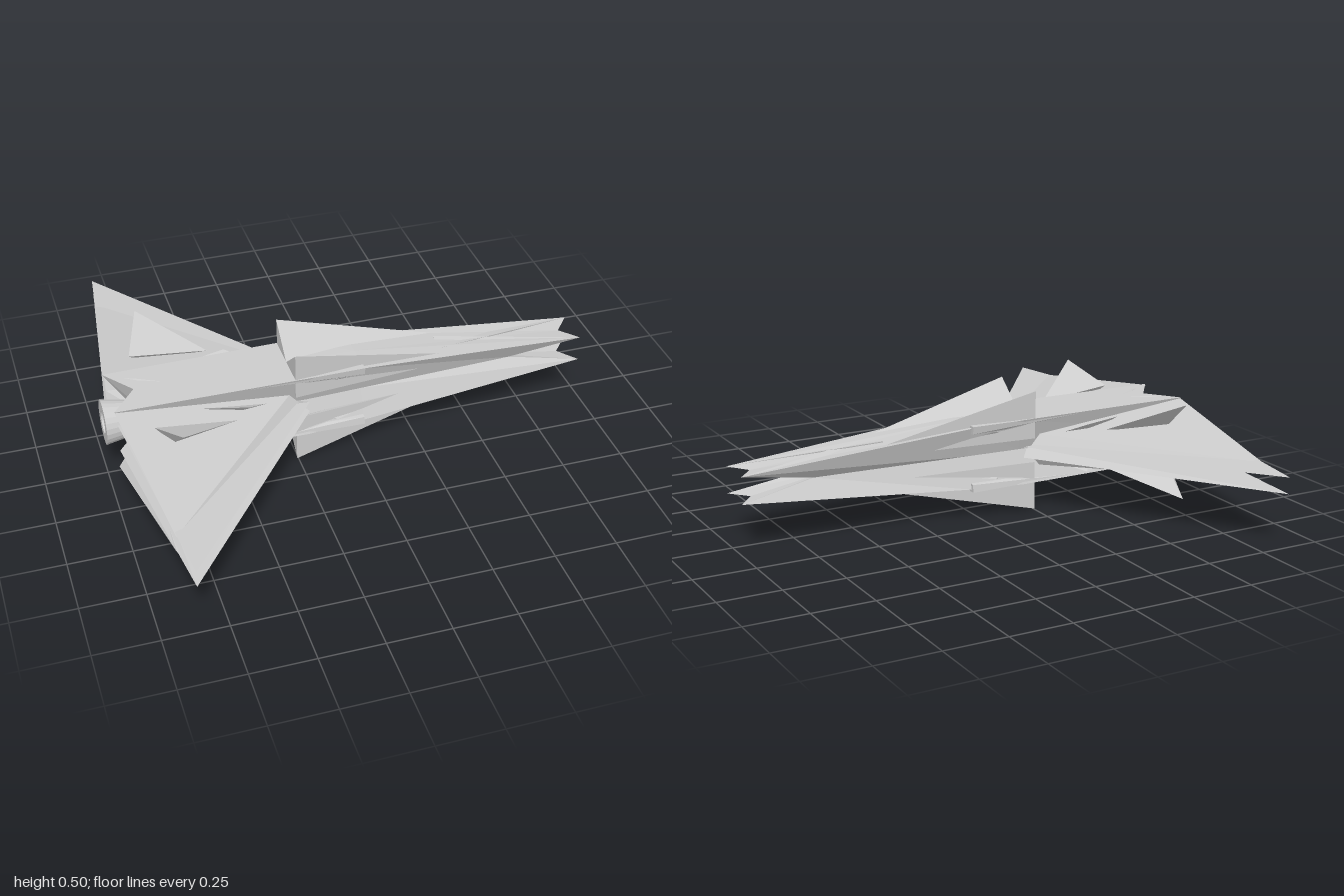
import * as THREE from 'three';
import { ConvexGeometry } from 'three/addons/geometries/ConvexGeometry.js';

const MID = 0.2525; // height of the horizontal symmetry plane
const mat = new THREE.MeshStandardMaterial({ color: 0xcccccc, flatShading: true, side: THREE.DoubleSide });

function add(parent, name, geometry) {
  const mesh = new THREE.Mesh(geometry, mat);
  mesh.name = name;
  parent.add(mesh);
  return mesh;
}

// Faceted solid from a few corners (y measured from MID), repeated in all four quadrants
function quad(parent, name, corners) {
  const set = new THREE.Group();
  set.name = name + 's';
  for (const sy of [1, -1]) for (const sz of [1, -1]) {
    const pts = corners.map(([x, y, z]) => new THREE.Vector3(x, y * sy, z * sz));
    add(set, name, new ConvexGeometry(pts));
  }
  parent.add(set);
}

// Each station: corner, top middle and side middle, mirrored into a ring of eight
function hullGeometry() {
  const stations = [
    { c: [-0.97, 0.132, 0.132], t: [-0.87, 0.132], s: [-0.87, 0.08] },
    { c: [-0.2, 0.135, 0.14], t: [-0.2, 0.135], s: [-0.2, 0.09] },
    { c: [0.03, 0.126, 0.126], t: [0.03, 0.13], s: [0.03, 0.08] },
    { c: [0.985, 0.054, 0.08], t: [0.92, 0.052], s: [0.68, 0.05] },
  ];
  const rings = stations.map(({ c: [x, y, z], t, s }) => [
    [x, y, z], [t[0], t[1], 0], [x, y, -z], [s[0], 0, -s[1]],
    [x, -y, -z], [t[0], -t[1], 0], [x, -y, z], [s[0], 0, s[1]],
  ]);
  const pos = [];
  const tri = (...p) => p.forEach((v) => pos.push(...v));
  for (let k = 0; k < 8; k++) {
    const n = (k + 1) % 8;
    for (let i = 0; i < rings.length - 1; i++) {
      const a = rings[i], b = rings[i + 1];
      tri(a[k], b[k], a[n]);
      tri(a[n], b[k], b[n]);
    }
    tri([-0.82, 0, 0], rings[0][k], rings[0][n]);
    tri([0.6, 0, 0], rings[3][n], rings[3][k]);
  }
  const g = new THREE.BufferGeometry();
  g.setAttribute('position', new THREE.Float32BufferAttribute(pos, 3));
  g.computeVertexNormals();
  return g;
}

export function createModel() {
  const ship = new THREE.Group();
  ship.name = 'starship';
  const body = new THREE.Group();
  body.name = 'body';
  body.position.y = MID;
  ship.add(body);

  add(body, 'hull', hullGeometry());

  // Paired thin delta wings, joined at the root and parting towards the tips
  quad(body, 'wingBlade', [
    [-0.96, 0.06, 0.12], [-0.88, 0.005, 0.08], [-0.2, 0.022, 0.14],
    [-0.25, 0, 0.08], [-0.86, 0.033, 1],
  ]);
  // Thicker inner panel that falls from the hull corner to the outer wing
  quad(body, 'wingPanel', [
    [-0.97, 0.128, 0.13], [-0.88, 0.02, 0.1], [-0.28, 0.065, 0.13],
    [-0.24, 0.02, 0.13], [-0.885, 0.037, 0.8],
  ]);
  // Slanted spikes standing on the wings
  quad(body, 'wingSpike', [
    [-0.84, 0.115, 0.25], [-0.52, 0.08, 0.25], [-0.78, 0.06, 0.29], [-0.77, 0.197, 0.45],
  ]);
  // Tall shoulder fins, undercut towards the nose
  quad(body, 'shoulderFin', [
    [-0.255, 0.2475, 0.138], [-0.255, 0.132, 0], [-0.255, 0.05, 0.134],
    [0.1, 0.06, 0.06], [0.58, 0.05, 0.06],
  ]);
  // Side intakes behind the nose
  quad(body, 'intake', [
    [0.03, 0.136, 0.14], [0.03, 0.105, 0.135], [0.03, 0.136, 0.1], [0.03, 0.1, 0.1],
    [-0.5, 0.13, 0.135], [-0.5, 0.1, 0.1],
  ]);
  quad(body, 'intakeSpike', [
    [-0.22, 0.1, 0.08], [-0.22, 0.02, 0.08], [-0.08, 0.1, 0.125], [0.3, 0.03, 0.06],
  ]);
  // Small blades at the wing roots
  quad(body, 'rootBlade', [
    [-0.63, 0.1, 0.165], [-0.38, 0.07, 0.165], [-0.46, 0.1, 0.21], [-0.5, 0.05, 0.16],
  ]);
  // Long inner nose blades that cross the centre line
  quad(body, 'noseBlade', [
    [0.985, 0.054, 0.08], [0.38, 0.102, -0.045], [0.38, 0.09, 0.03], [0.4, 0.025, -0.02],
  ]);
  // Wedges around the tail recess
  quad(body, 'tailWedge', [
    [-0.96, 0.125, 0.125], [-0.72, 0.131, 0], [-0.86, 0.1, 0.03], [-0.85, 0.137, 0.06],
  ]);

  // Hollow flared exhaust
  const profile = [[0.065, 0], [0.09, 0.14], [0.045, 0.14], [0.035, 0.06], [0, 0.06]]
    .map(([r, h]) => new THREE.Vector2(r, h));
  const nozzle = add(body, 'exhaust', new THREE.LatheGeometry(profile, 24));
  nozzle.rotation.z = Math.PI / 2;
  nozzle.position.x = -0.86;

  return ship;
}
